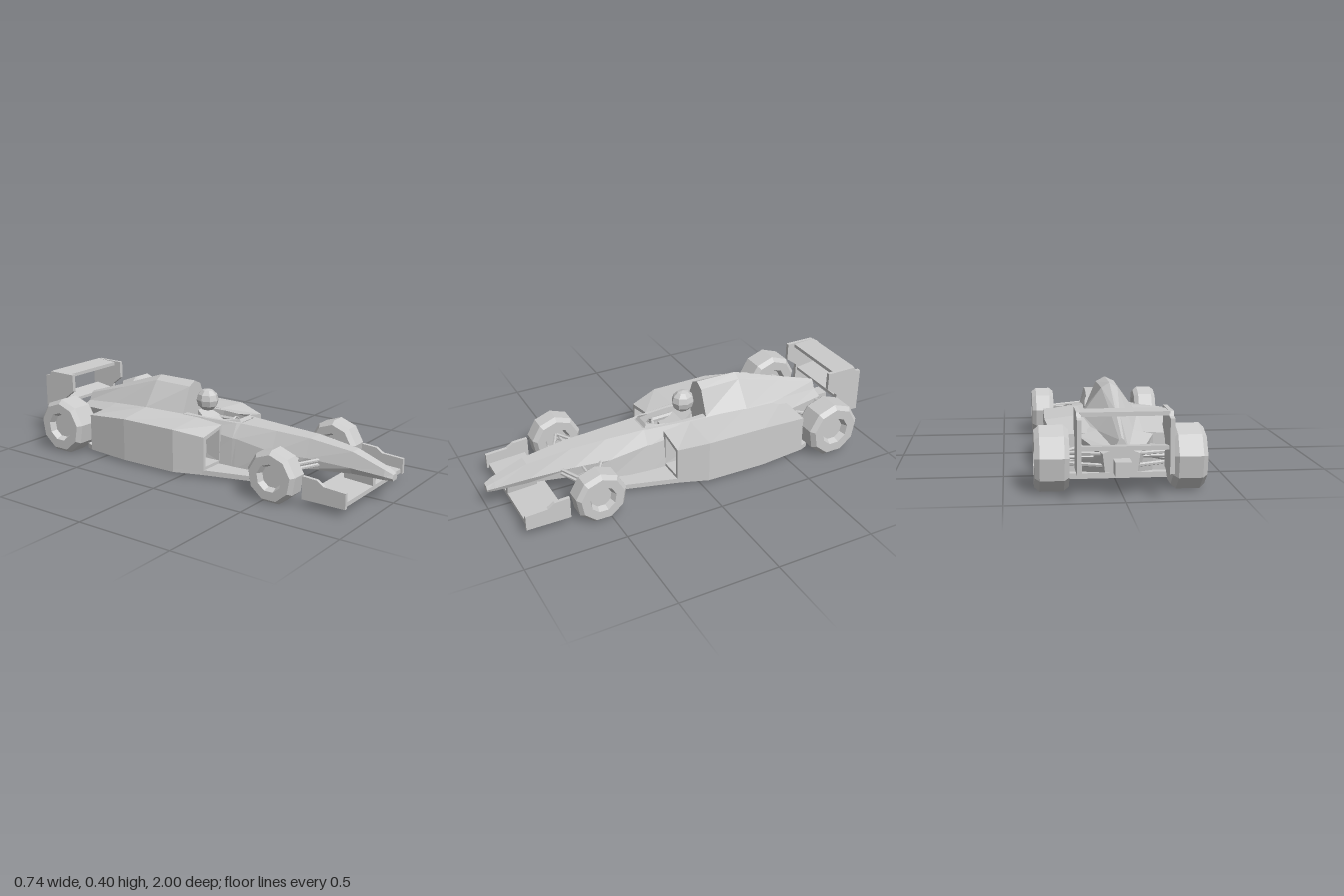
import * as THREE from 'three';

const mat = new THREE.MeshStandardMaterial({ color: 0xcccccc, flatShading: true, side: THREE.DoubleSide });

function add(parent, geometry, name) {
  const mesh = new THREE.Mesh(geometry, mat);
  mesh.name = name;
  parent.add(mesh);
  return mesh;
}

// Skins rings of [x, y, z] (counter-clockwise from the front, ordered front to back) and caps both ends
function loft(rings) {
  const pos = [];
  const tri = (...p) => p.forEach((v) => pos.push(...v));
  for (let k = 0; k < rings.length - 1; k++) {
    const p = rings[k], q = rings[k + 1];
    p.forEach((a, i) => {
      const j = (i + 1) % p.length;
      tri(a, q[i], q[j]);
      tri(a, q[j], p[j]);
    });
  }
  const cap = (r, flip) => {
    const flat = r.map((v) => new THREE.Vector2(v[0], v[1]));
    for (const [a, b, c] of THREE.ShapeUtils.triangulateShape(flat, [])) {
      if (flip) tri(r[a], r[c], r[b]);
      else tri(r[a], r[b], r[c]);
    }
  };
  cap(rings[0], false);
  cap(rings[rings.length - 1], true);
  const g = new THREE.BufferGeometry();
  g.setAttribute('position', new THREE.Float32BufferAttribute(pos, 3));
  g.computeVertexNormals();
  return g;
}

// Full symmetric ring from the points of its +x half, bottom to top
function mirrorRing(half, z) {
  const right = half.map(([x, y]) => [x, y, z]);
  const left = half.filter((p) => p[0] > 0).reverse().map(([x, y]) => [-x, y, z]);
  return [...right, ...left];
}

// Extrudes a [z, y] outline across x, centred on x
function plate(outline, x, width) {
  const shape = new THREE.Shape(outline.map(([z, y]) => new THREE.Vector2(z, y)));
  const g = new THREE.ExtrudeGeometry(shape, { depth: width, bevelEnabled: false });
  return g.translate(0, 0, -width / 2).rotateY(-Math.PI / 2).translate(x, 0, 0);
}

function box(w, h, d, x, y, z) {
  return new THREE.BoxGeometry(w, h, d).translate(x, y, z);
}

function rod(a, b, r) {
  const p = new THREE.Vector3(...a), d = new THREE.Vector3(...b).sub(p);
  const g = new THREE.CylinderGeometry(r, r, d.length(), 6);
  g.applyQuaternion(new THREE.Quaternion().setFromUnitVectors(new THREE.Vector3(0, 1, 0), d.clone().normalize()));
  return g.translate(p.x + d.x / 2, p.y + d.y / 2, p.z + d.z / 2);
}

// Nine-sided tyre with bevelled shoulders and a recessed rim on both faces
function wheelGeometry(r, w) {
  const h = w / 2;
  const outer = [[0, h - 0.03], [r * 0.42, h - 0.03], [r * 0.52, h], [r * 0.86, h], [r, h - 0.022]];
  const profile = [...outer.map(([x, y]) => [x, -y]), ...outer.slice().reverse()];
  const g = new THREE.LatheGeometry(profile.map((p) => new THREE.Vector2(...p)), 9);
  return g.rotateZ(-Math.PI / 2).rotateX(-Math.PI / 2);
}

export function createModel() {
  const car = new THREE.Group();
  car.name = 'racingCar';

  // Nose and cockpit tub: z, bottom y/w, middle y/w, top y/w, opening w, opening depth
  const tub = [
    [1.0, 0.11, 0.018, 0.122, 0.024, 0.14, 0.016, 0.01, 0],
    [0.96, 0.11, 0.026, 0.128, 0.033, 0.158, 0.024, 0.015, 0],
    [0.8, 0.11, 0.038, 0.14, 0.05, 0.214, 0.031, 0.02, 0],
    [0.58, 0.095, 0.068, 0.15, 0.075, 0.24, 0.044, 0.03, 0],
    [0.4, 0.05, 0.1, 0.15, 0.097, 0.245, 0.052, 0.04, 0],
    [0.2, 0.03, 0.12, 0.18, 0.105, 0.25, 0.065, 0.05, 0],
    [0.18, 0.03, 0.12, 0.18, 0.107, 0.25, 0.072, 0.055, 0.12],
    [0.0, 0.03, 0.125, 0.2, 0.112, 0.25, 0.09, 0.072, 0.14],
    [-0.14, 0.03, 0.125, 0.2, 0.115, 0.25, 0.098, 0.065, 0.14],
  ];
  add(car, loft(tub.map(([z, yb, wb, ym, wm, yt, wt, wi, dip]) => mirrorRing(
    [[wb, yb], [wm, ym], [wt, yt], [wi, yt], [wi * 0.9, yt - dip]], z))), 'noseAndCockpitTub');

  // Engine cover tapering to the tail: z, bottom w/y, shoulder w/y, base w/y, ridge side w/y, ridge y
  const cover = [
    [-0.13, 0.12, 0.04, 0.12, 0.235, 0.1, 0.25, 0.045, 0.38, 0.403],
    [-0.35, 0.16, 0.04, 0.16, 0.235, 0.13, 0.255, 0.038, 0.38, 0.403],
    [-0.6, 0.17, 0.04, 0.17, 0.205, 0.08, 0.225, 0.02, 0.3, 0.317],
    [-0.84, 0.07, 0.09, 0.08, 0.17, 0.03, 0.19, 0.01, 0.23, 0.238],
  ];
  add(car, loft(cover.map(([z, a, b, c, d, e, f, g, h, top]) => mirrorRing(
    [[a, b], [c, d], [e, f], [g, h], [0, top]], z))), 'engineCover');
  add(car, box(0.07, 0.06, 0.1, 0, 0.12, -0.87), 'tailBox');

  // Flat floor
  const floorHalf = [[0.157, 0.43], [0.25, 0.1], [0.3, -0.04], [0.305, -0.35], [0.28, -0.6], [0.265, -0.64]];
  const floorShape = new THREE.Shape([...floorHalf, ...floorHalf.slice().reverse().map(([x, z]) => [-x, z])]
    .map((p) => new THREE.Vector2(...p)));
  add(car, new THREE.ExtrudeGeometry(floorShape, { depth: 0.025, bevelEnabled: false })
    .rotateX(Math.PI / 2).translate(0, 0.04, 0), 'floor');

  // Sidepods with a recessed inlet: z, inner x, outer x, bottom y, outer top y, inner top y
  const pod = [
    [0.03, 0.12, 0.235, 0.055, 0.185, 0.205],
    [0.11, 0.12, 0.235, 0.055, 0.19, 0.215],
    [0.11, 0.1, 0.25, 0.035, 0.207, 0.235],
    [-0.04, 0.1, 0.3, 0.035, 0.232, 0.248],
    [-0.35, 0.12, 0.305, 0.035, 0.232, 0.255],
    [-0.6, 0.08, 0.28, 0.035, 0.205, 0.218],
  ];
  for (const s of [1, -1]) {
    const side = s > 0 ? 'left' : 'right';
    add(car, loft(pod.map(([z, xi, xo, yb, yo, yi]) => {
      const ring = [[s * xi, yb, z], [s * xo, yb, z], [s * xo, yo, z], [s * xi, yi, z]];
      return s > 0 ? ring : ring.reverse();
    })), side + 'Sidepod');

    // Wheels
    for (const [name, r, w, x, z] of [['Front', 0.129, 0.117, 0.284, 0.545], ['Rear', 0.1443, 0.148, 0.294, -0.74]]) {
      add(car, wheelGeometry(r, w), side + name + 'Wheel').position.set(s * x, r * 0.94, z);
    }

    // Suspension arms: inner x, y, z, then outer y, z
    const arms = {
      Front: [[0.06, 0.15, 0.64, 0.148, 0.55], [0.08, 0.15, 0.44, 0.148, 0.54], [0.06, 0.128, 0.64, 0.125, 0.55],
        [0.08, 0.128, 0.44, 0.125, 0.54], [0.06, 0.14, 0.535, 0.138, 0.535]],
      Rear: [[0.07, 0.165, -0.82, 0.16, -0.75], [0.14, 0.165, -0.63, 0.16, -0.74], [0.07, 0.115, -0.82, 0.115, -0.75],
        [0.14, 0.115, -0.63, 0.115, -0.74], [0.06, 0.14, -0.75, 0.14, -0.75]],
    };
    for (const [name, list] of Object.entries(arms)) {
      for (const [x, y, z, yo, zo] of list) {
        add(car, rod([s * x, y, z], [s * 0.245, yo, zo], 0.009), side + name + 'SuspensionArm');
      }
    }

    // Wing endplates
    add(car, plate([[0.91, 0.04], [0.91, 0.115], [0.8, 0.122], [0.765, 0.145], [0.69, 0.15], [0.69, 0.04]],
      s * 0.284, 0.018), side + 'FrontEndplate');
    add(car, plate([[-0.8, 0.37], [-0.8, 0.28], [-0.86, 0.235], [-0.86, 0.115], [-1, 0.115], [-1, 0.345],
      [-0.97, 0.35], [-0.96, 0.37]], s * 0.19, 0.019), side + 'RearEndplate');
  }

  // Front wing with its centre mount
  add(car, plate([[0.9, 0.042], [0.9, 0.063], [0.71, 0.075], [0.71, 0.055]], 0, 0.56), 'frontWing');
  add(car, loft([0.9, 0.75].map((z) => mirrorRing([[0.01, 0.06], [0.018, 0.125]], z))), 'frontWingMount');

  // Rear wing planes
  add(car, plate([[-0.84, 0.347], [-0.84, 0.365], [-0.965, 0.37], [-0.965, 0.352]], 0, 0.37), 'rearWing');
  add(car, plate([[-0.87, 0.2], [-0.87, 0.215], [-0.975, 0.23], [-0.975, 0.212]], 0, 0.37), 'lowerRearWing');

  // Driver
  const helmet = add(car, new THREE.SphereGeometry(0.058, 8, 6), 'helmet');
  helmet.scale.set(0.9, 1, 1.03);
  helmet.position.set(0, 0.316, -0.05);
  add(car, loft([
    mirrorRing([[0.05, 0.12], [0.045, 0.2]], 0.07),
    mirrorRing([[0.06, 0.12], [0.06, 0.23], [0.025, 0.235]].slice(0, 2), -0.02),
    mirrorRing([[0.055, 0.12], [0.04, 0.265]], -0.08),
  ]), 'driverTorso');
  for (const s of [1, -1]) add(car, rod([s * 0.055, 0.215, -0.02], [s * 0.035, 0.225, 0.12], 0.014), 'driverArm');

  // Steering wheel and windscreen
  const steering = add(car, new THREE.TorusGeometry(0.035, 0.006, 4, 8), 'steeringWheel');
  steering.position.set(0, 0.22, 0.135);
  steering.rotation.x = -0.35;
  const screen = [[-0.065, 0.1], [-0.05, 0.19], [0.05, 0.19], [0.065, 0.1]];
  for (let i = 0; i < 3; i++) {
    const [a, b] = [screen[i], screen[i + 1]];
    const g = new THREE.BufferGeometry();
    g.setAttribute('position', new THREE.Float32BufferAttribute([
      a[0], 0.247, a[1], b[0], 0.247, b[1], b[0] * 0.9, i === 2 ? 0.25 : 0.264, b[1] - 0.01,
      a[0] * 0.9, i === 0 ? 0.25 : 0.264, a[1] - 0.01], 3));
    g.setIndex([0, 1, 2, 0, 2, 3]);
    g.computeVertexNormals();
    add(car, g, 'windscreen');
  }
  return car;
}
